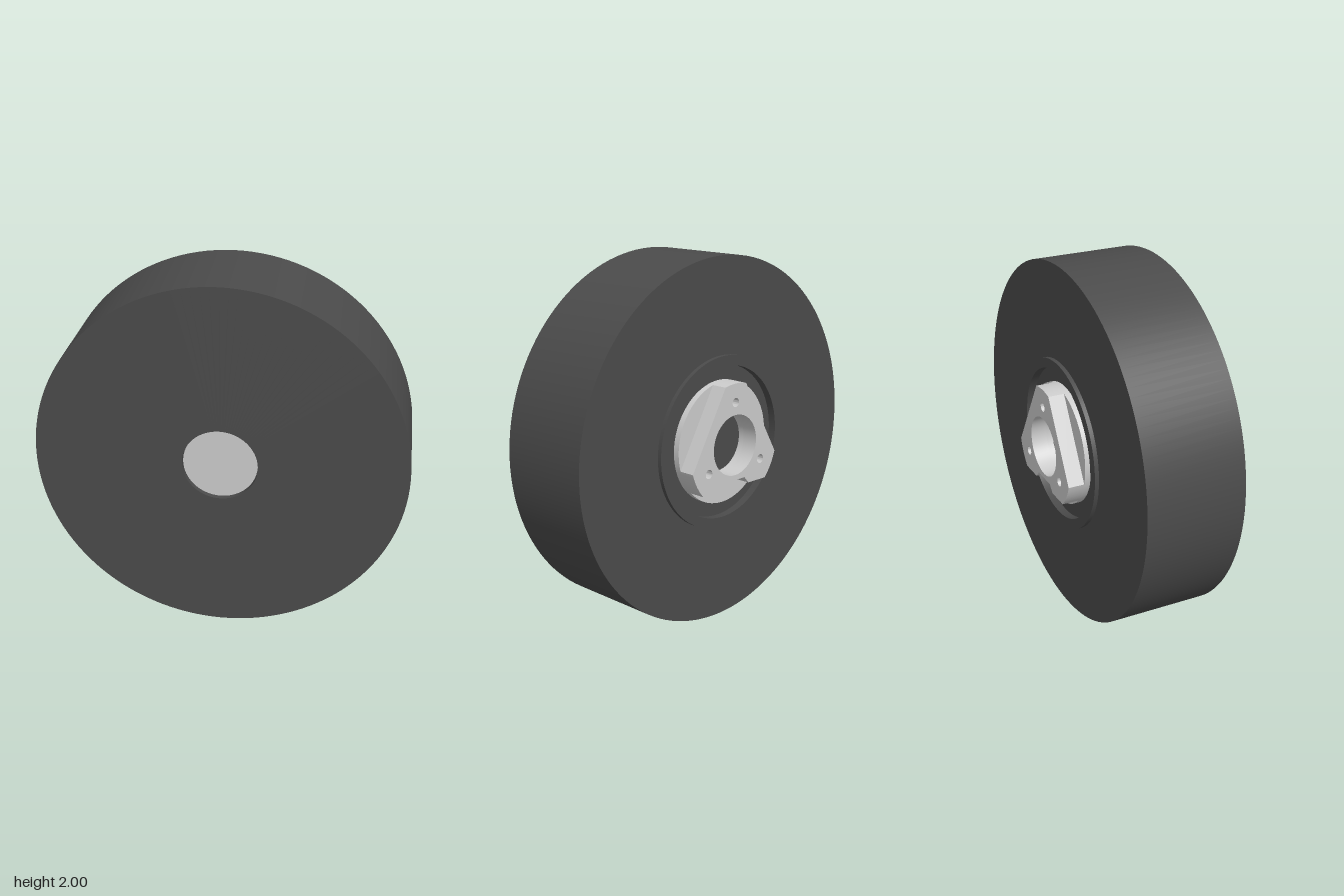
import * as THREE from 'three';
import { toCreasedNormals } from 'three/addons/utils/BufferGeometryUtils.js';

const CREASE = 0.5;

export function createModel() {
  const model = new THREE.Group();
  const rubber = new THREE.MeshStandardMaterial({ color: 0x4b4b4b });
  const metal = new THREE.MeshStandardMaterial({ color: 0xcccccc });

  const add = (name, geometry, material) => {
    const mesh = new THREE.Mesh(toCreasedNormals(geometry, CREASE), material);
    mesh.name = name;
    mesh.position.y = 1;
    model.add(mesh);
  };

  // Turned solid about the z axis from [radius, z] pairs, running back to front on the outside
  const turned = (pairs, segments = 128) =>
    new THREE.LatheGeometry(pairs.map(([r, z]) => new THREE.Vector2(r, z)), segments).rotateX(Math.PI / 2)
      .rotateZ(Math.PI / 2);

  // Wheel body: recessed hub seat and raised lip at the back, axle hole at the front
  add('wheel', turned([
    [0, -0.2], [0.42, -0.2], [0.42, -0.245], [0.475, -0.245], [0.475, -0.222],
    [1, -0.222], [1, 0.325], [0.203, 0.325], [0.203, 0.29], [0, 0.29],
  ]), rubber);

  // Axle end, set slightly back inside the front hole
  add('axleEnd', turned([[0, 0.28], [0.2, 0.28], [0.2, 0.302], [0, 0.302]], 64), metal);

  // Round hub flange with a central bore
  const R = 0.338, bore = 0.167;
  add('hubFlange', turned([
    [bore, -0.2], [bore, -0.235], [R, -0.235], [R, -0.2],
  ], 96), metal);

  // Three-cornered mounting plate: arc corners, notched bottom edge, bore and bolt holes
  const plate = new THREE.Shape();
  const half = 0.24;
  for (const deg of [-30, 90, 210]) {
    const a = THREE.MathUtils.degToRad(deg);
    plate.absarc(0, 0, R, a - half, a + half, false);
    const hole = new THREE.Path();
    hole.absarc(0.235 * Math.cos(a), 0.235 * Math.sin(a), 0.025, 0, Math.PI * 2, true);
    plate.holes.push(hole);
  }
  const bottom = -R * Math.sin(Math.PI / 6 + half);
  plate.lineTo(-0.11, bottom);
  plate.lineTo(-0.075, -0.195);
  plate.lineTo(0.075, -0.195);
  plate.lineTo(0.11, bottom);
  const boreHole = new THREE.Path();
  boreHole.absarc(0, 0, bore, 0, Math.PI * 2, true);
  plate.holes.push(boreHole);
  add('mountingPlate', new THREE.ExtrudeGeometry(plate, { depth: 0.09, bevelEnabled: false, curveSegments: 32 })
    .translate(0, 0, -0.325), metal);

  return model;
}
